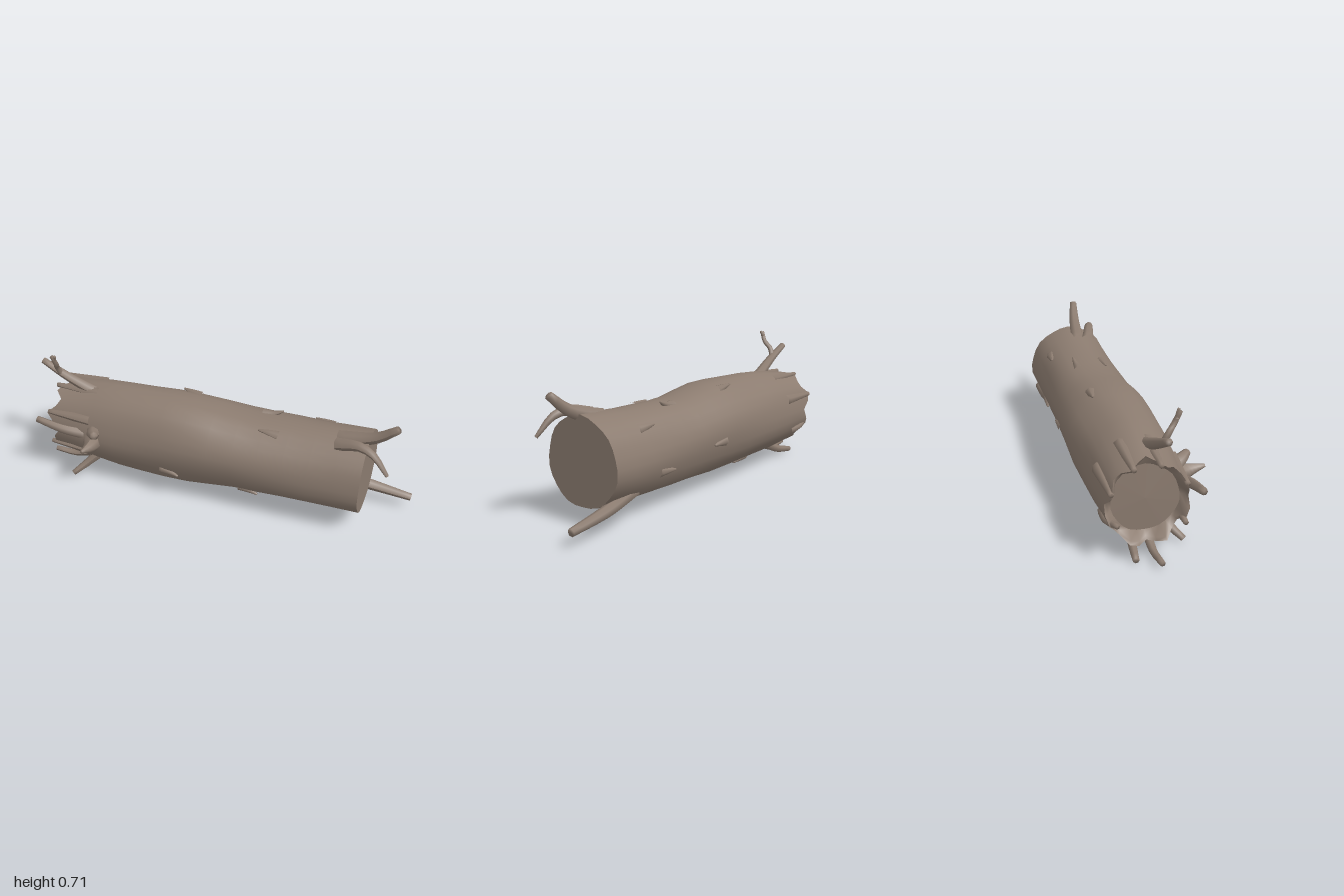
import * as THREE from 'three';

const SIDES = 28;

// Log outline: x, bottom, top, back, front
const SECTIONS = [
  [-0.80, 0.08, 0.49, -0.24, 0.15],
  [-0.58, 0.06, 0.52, -0.255, 0.175],
  [-0.20, 0.05, 0.535, -0.275, 0.18],
  [0.20, 0.07, 0.50, -0.28, 0.155],
  [0.50, 0.08, 0.503, -0.285, 0.145],
  [0.77, 0.09, 0.52, -0.295, 0.14],
];

// Outline at any x, blended between the sections
function sectionAt(x) {
  const i = Math.max(1, SECTIONS.findIndex(s => s[0] >= x));
  const a = SECTIONS[i - 1], b = SECTIONS[i];
  const t = THREE.MathUtils.smoothstep(x, a[0], b[0]);
  return a.map((v, k) => THREE.MathUtils.lerp(v, b[k], t));
}

// Point on the bark at x and angle a; the ripple gives uneven wood
function barkPoint(x, a, scale = 1, placedX = x) {
  const [, y0, y1, z0, z1] = sectionAt(x);
  const k = scale * (1 + 0.018 * Math.sin(3 * a + 5 * x) + 0.014 * Math.sin(7 * a - 4 * x));
  return new THREE.Vector3(placedX,
    (y0 + y1) / 2 + (y1 - y0) / 2 * k * Math.sin(a),
    (z0 + z1) / 2 + (z1 - z0) / 2 * k * Math.cos(a));
}

// Ragged edge of the broken end
const raggedX = a => -0.895 - 0.032 * Math.cos(8 * (a - 0.42)) - 0.015 * Math.sin(3 * a);

const ring = fn => Array.from({ length: SIDES }, (_, j) => fn(j / SIDES * Math.PI * 2));

// Joins rings of points into a smooth skin
function skin(rings) {
  const index = [];
  for (let i = 0; i < rings.length - 1; i++) {
    for (let j = 0; j < SIDES; j++) {
      const a = i * SIDES + j, c = i * SIDES + (j + 1) % SIDES;
      index.push(a, a + SIDES, c, a + SIDES, c + SIDES, c);
    }
  }
  const g = new THREE.BufferGeometry().setFromPoints(rings.flat());
  g.setIndex(index);
  g.computeVertexNormals();
  return g;
}

// Tapered branch swept through points, closed with a blunt tip
function branch(r0, r1, ...points) {
  const curve = new THREE.CatmullRomCurve3(points.map(p => new THREE.Vector3(...p)));
  const n = 9, sides = 7;
  const g = new THREE.TubeGeometry(curve, n, 1, sides, false);
  const pos = g.attributes.position, v = new THREE.Vector3();
  for (let i = 0; i <= n; i++) {
    const t = Math.min(1, i / (n - 1));
    const from = curve.getPointAt(i / n), to = curve.getPointAt(t);
    const r = i === n ? 0 : r0 + (r1 - r0) * t;
    for (let j = 0; j <= sides; j++) {
      const k = i * (sides + 1) + j;
      v.fromBufferAttribute(pos, k).sub(from).multiplyScalar(r).add(to);
      pos.setXYZ(k, v.x, v.y, v.z);
    }
  }
  g.computeVertexNormals();
  return g;
}

export function createModel() {
  const group = new THREE.Group();
  const wood = new THREE.MeshStandardMaterial({ color: 0x8c7c70 });
  wood.name = 'brown wood';
  const add = (name, geometry) => {
    const m = new THREE.Mesh(geometry, wood);
    m.name = name;
    group.add(m);
  };

  // Trunk bark with its ragged left edge
  const tips = ring(a => barkPoint(-0.8, a, 0.97, raggedX(a)));
  const rings = Array.from({ length: 13 }, (_, i) => ring(a => barkPoint(-0.8 + 1.57 * i / 12, a)));
  add('bark', skin([tips, ...rings]));

  // Hollowed broken end
  const floor = ring(a => barkPoint(-0.8, a, 0.8, -0.845));
  const innerTips = ring(a => barkPoint(-0.8, a, 0.9, raggedX(a) + 0.012));
  add('brokenRim', skin([floor, innerTips, tips]));
  add('brokenCore', skin([ring(a => barkPoint(-0.8, a, 0, -0.85)), floor]));

  // Clean cut end
  add('cutEnd', skin([rings[12], ring(a => barkPoint(0.77, a, 0))]));

  // Branches at the broken end
  add('upperLeftBranch', branch(0.032, 0.017, [-0.70, 0.47, -0.01], [-0.87, 0.555, 0.01], [-0.995, 0.62, 0.01]));
  add('uprightTwig', branch(0.016, 0.011, [-0.89, 0.56, 0.015], [-0.90, 0.61, 0.035], [-0.885, 0.65, 0.065], [-0.89, 0.705, 0.088]));
  add('twigFork', branch(0.011, 0.006, [-0.89, 0.67, 0.075], [-0.88, 0.69, 0.08], [-0.872, 0.71, 0.088]));
  add('sideBranch', branch(0.03, 0.017, [-0.70, 0.29, 0.13], [-0.82, 0.318, 0.168], [-0.97, 0.355, 0.18]));
  add('frontSpike', branch(0.065, 0.008, [-0.67, 0.265, 0.12], [-0.645, 0.28, 0.21], [-0.65, 0.30, 0.295]));
  add('frontStub', branch(0.05, 0.018, [-0.66, 0.31, 0.12], [-0.64, 0.34, 0.18], [-0.61, 0.36, 0.22]));
  add('lowerFrontTwig', branch(0.028, 0.015, [-0.68, 0.12, 0.06], [-0.74, 0.065, 0.10], [-0.80, 0.017, 0.155]));
  add('lowerMiddleTwig', branch(0.026, 0.014, [-0.68, 0.10, -0.01], [-0.86, 0.025, -0.01], [-0.99, 0.032, 0]));
  add('lowerBackTwig', branch(0.028, 0.015, [-0.68, 0.10, -0.07], [-0.80, 0.04, -0.09], [-0.92, 0.016, -0.10]));
  add('backTwig', branch(0.024, 0.012, [-0.74, 0.18, -0.21], [-0.84, 0.19, -0.215], [-0.94, 0.215, -0.19]));

  // Branches at the cut end
  add('upperRightBranch', branch(0.042, 0.02, [0.62, 0.485, -0.05], [0.80, 0.545, -0.033], [0.90, 0.625, -0.02]));
  add('droopingBranch', branch(0.035, 0.009, [0.62, 0.49, 0.01], [0.74, 0.525, 0.04], [0.81, 0.505, 0.06], [0.89, 0.42, 0.085]));
  add('lowerRightBranch', branch(0.04, 0.02, [0.56, 0.15, -0.19], [0.75, 0.11, -0.22], [0.99, 0.075, -0.23]));

  // Long splinters along the broken end, by angle in degrees
  for (const deg of [28, 75, 112, 156, -30]) {
    const a = THREE.MathUtils.degToRad(deg);
    const path = [-0.68, -0.8, -0.93].map(x => barkPoint(-0.8, a, 0.97, x).toArray());
    add('splinter', branch(0.032, 0.012, ...path));
  }

  // Small lifted bark shards: x, angle in degrees, lean along x, lift
  const shards = [[-0.2, 115, -1, 1.03], [0.25, 108, 1, 1.1], [0.27, 66, -1, 1.02], [-0.22, -28, 1, 1.05],
    [0.2, -42, 1, 1.05], [0.5, 135, -1, 1.03], [0, 185, 1, 1.03], [0.4, 200, -1, 1.03], [-0.4, 255, 1, 1.03]];
  for (const [x, deg, lean, lift] of shards) {
    const a = THREE.MathUtils.degToRad(deg);
    const path = [0.93, 0.985, lift].map((k, i) => barkPoint(x, a, k, x + (i - 1) * 0.05 * lean).toArray());
    add('barkShard', branch(0.028, 0.005, ...path));
  }

  return group;
}
